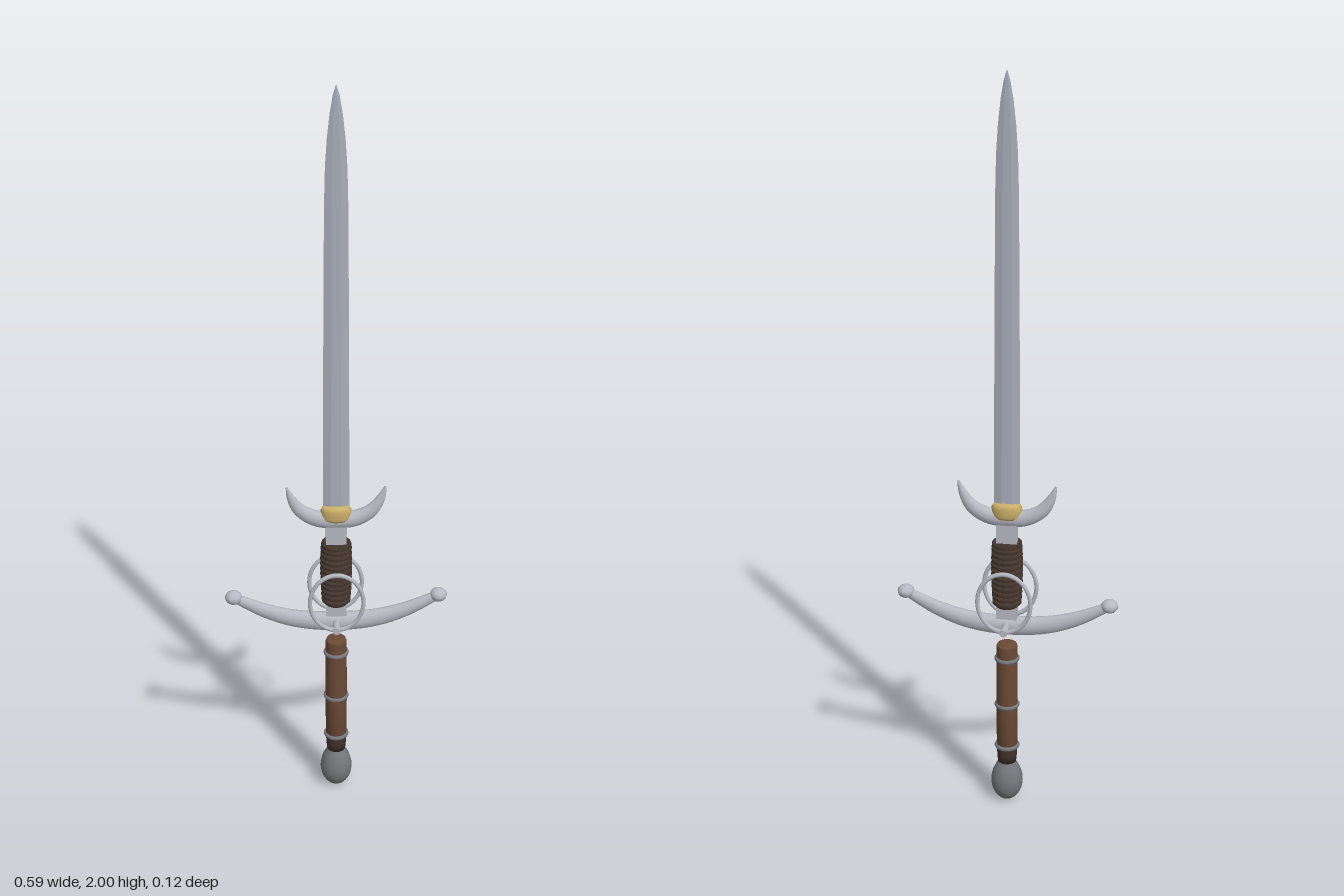
import * as THREE from 'three';

const mat = (color, flatShading = false) => new THREE.MeshStandardMaterial({ color, flatShading });
const V = (x, y, z = 0) => new THREE.Vector3(x, y, z);

// Skin a series of equal-sized closed rings; rings run counter-clockwise about the path
function loft(rings) {
  const n = rings[0].length, pos = [], idx = [];
  rings.forEach(r => r.forEach(p => pos.push(p.x, p.y, p.z)));
  for (let i = 0; i < rings.length - 1; i++) {
    for (let j = 0; j < n; j++) {
      const a = i * n + j, b = i * n + (j + 1) % n;
      idx.push(a, b, b + n, a, b + n, a + n);
    }
  }
  const g = new THREE.BufferGeometry();
  g.setAttribute('position', new THREE.Float32BufferAttribute(pos, 3));
  g.setIndex(idx);
  g.computeVertexNormals();
  return g;
}

// Curved bar in the xy plane with an elliptical section that tapers to both ends
function taperedBar(points, radii, sides = 12, steps = 32) {
  const curve = new THREE.CatmullRomCurve3(points);
  const rings = [];
  for (let i = 0; i <= steps; i++) {
    const u = i / steps, p = curve.getPointAt(u), t = curve.getTangentAt(u);
    const [rn, rz] = radii(Math.abs(2 * u - 1));
    rings.push(Array.from({ length: sides }, (_, j) => {
      const a = j / sides * Math.PI * 2, c = Math.cos(a) * rn;
      return V(p.x - t.y * c, p.y + t.x * c, Math.sin(a) * rz);
    }));
  }
  return loft(rings);
}

const mirrored = half => [...half.slice(1).reverse().map(([x, y]) => V(-x, y)), ...half.map(([x, y]) => V(x, y))];
const lathe = (pts, sides) => new THREE.LatheGeometry(pts.map(([r, y]) => new THREE.Vector2(r, y)), sides);

export function createModel() {
  const group = new THREE.Group();
  const steel = mat(0xb6bac2), bladeSteel = mat(0xa9aeb8, true), darkSteel = mat(0x75777b);
  const leather = mat(0x6b4a36), darkLeather = mat(0x41332b), brass = mat(0xc9ae68);
  const add = (name, geo, m, x = 0, y = 0, z = 0) => {
    const mesh = new THREE.Mesh(geo, m);
    mesh.name = name;
    mesh.position.set(x, y, z);
    group.add(mesh);
    return mesh;
  };

  // Pear-shaped pommel
  const pommel = new THREE.SplineCurve([[0.001, 0], [0.022, 0.007], [0.038, 0.03], [0.043, 0.06],
    [0.037, 0.09], [0.026, 0.112], [0.02, 0.124]].map(p => new THREE.Vector2(...p)));
  add('pommel', new THREE.LatheGeometry(pommel.getPoints(20), 20), darkSteel);

  // Grip with metal bands
  add('gripFoot', lathe([[0, 0.118], [0.025, 0.118], [0.027, 0.14], [0.028, 0.17]], 16), darkLeather);
  add('grip', lathe([[0, 0.16], [0.028, 0.16], [0.029, 0.3], [0.028, 0.47], [0.026, 0.476], [0, 0.476]], 16), leather);
  for (const y of [0.167, 0.294, 0.434]) {
    const band = add('gripBand', new THREE.TorusGeometry(0.028, 0.006, 8, 20), darkSteel, 0, y);
    band.rotation.x = Math.PI / 2;
  }

  // Main crossguard with ball ends
  add('crossguard', taperedBar(
    mirrored([[0, 0.533], [0.1, 0.541], [0.18, 0.565], [0.27, 0.61]]),
    k => [0.027 - 0.015 * k * k, 0.021 - 0.01 * k]), steel);
  for (const s of [-1, 1]) {
    const ball = add('guardBall', new THREE.SphereGeometry(0.023, 10, 8), steel, s * 0.27, 0.611);
    ball.scale.y = 0.8;
  }

  // Side rings, each held by a peg
  for (const s of [-1, 1]) {
    const ring = add('sideRing', new THREE.TorusGeometry(0.07, 0.0055, 8, 40), steel, 0, 0.622, s * 0.052);
    ring.scale.y = 1.2;
    const peg = add('ringPeg', new THREE.CylinderGeometry(0.01, 0.01, 0.047, 10), steel, 0, 0.538, s * 0.039);
    peg.rotation.x = Math.PI / 2;
  }

  // Ricasso between the guards
  add('ricasso', new THREE.BoxGeometry(0.054, 0.33, 0.024), steel, 0, 0.695);

  // Ribbed leather wrap
  const wrap = [[0, 0.592], [0.03, 0.592]], ribs = 11;
  for (let i = 0; i < ribs; i++) {
    const y = 0.597 + i * 0.0155, r = 0.037 + 0.005 * Math.sin((i + 1.5) / ribs * 2.2);
    wrap.push([r - 0.007, y], [r, y + 0.004], [r, y + 0.0105], [r - 0.007, y + 0.0145]);
  }
  wrap.push([0.04, 0.768], [0.039, 0.775], [0, 0.775]);
  const wrapMat = darkLeather.clone();
  wrapMat.flatShading = true;
  add('leatherWrap', lathe(wrap, 16), wrapMat);

  // Upper crescent guard
  add('crescentGuard', taperedBar(
    mirrored([[0, 0.843], [0.05, 0.848], [0.092, 0.872], [0.116, 0.91], [0.127, 0.942]]),
    k => [0.002 + 0.021 * (1 - k ** 2.5), 0.003 + 0.015 * (1 - k * k)]), steel);

  // Brass collar at the blade root
  const collar = add('brassCollar', lathe([[0, 0.845], [0.034, 0.845], [0.04, 0.853], [0.04, 0.875],
    [0.034, 0.885], [0, 0.887]], 16), brass);
  collar.scale.z = 0.62;

  // Six-sided blade tapering to the point
  const sections = [[0.87, 0.034, 0.006], [1.3, 0.032, 0.0055], [1.7, 0.029, 0.0045], [1.8, 0.0265, 0.004],
    [1.87, 0.022, 0.0035], [1.93, 0.0155, 0.003], [1.975, 0.008, 0.002], [2, 0.0005, 0.0003]];
  add('blade', loft(sections.map(([y, w, t]) =>
    [[0.38, 1], [1, 0], [0.38, -1], [-0.38, -1], [-1, 0], [-0.38, 1]].map(([x, z]) => V(x * w, y, z * t)))), bladeSteel);

  return group;
}
